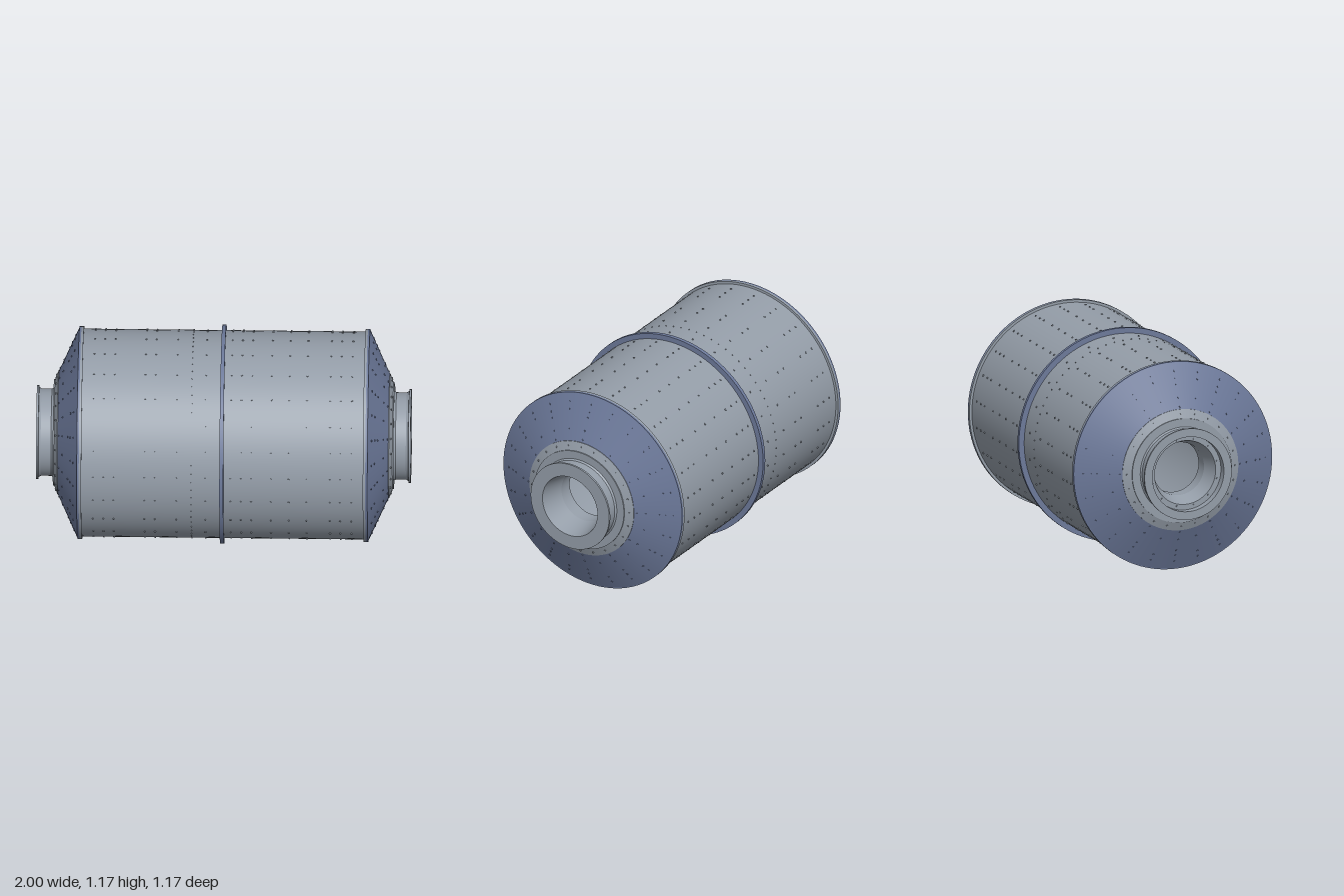
import * as THREE from 'three';
import { mergeGeometries } from 'three/addons/utils/BufferGeometryUtils.js';

const AXIS_Y = 0.585;
const SEG = 96;

// Revolve a [radius, x] profile around the x axis, keeping every corner sharp.
// Outer walls run towards +x, inner walls run back towards -x.
function revolve(profile, closed = true) {
  const parts = [];
  const count = closed ? profile.length : profile.length - 1;
  for (let i = 0; i < count; i++) {
    const a = profile[i], b = profile[(i + 1) % profile.length];
    parts.push(new THREE.LatheGeometry([new THREE.Vector2(...a), new THREE.Vector2(...b)], SEG));
  }
  return mergeGeometries(parts).rotateZ(-Math.PI / 2);
}

// A rectangular ring between two radii and two x positions.
const ring = (inner, outer, x0, x1) => revolve([[inner, x0], [outer, x0], [outer, x1], [inner, x1]]);

// A hexagonal bolt head at distance r from the axis, leaning towards +x by tilt.
function bolt(x, r, angle, tilt = 0, size = 0.005) {
  return new THREE.CylinderGeometry(size, size, 0.007, 6)
    .rotateZ(-tilt).translate(x, r, 0).rotateX(angle);
}

export function createModel() {
  const steel = new THREE.MeshStandardMaterial({ color: 0x949da8 });
  steel.name = 'greySteel';
  const blue = new THREE.MeshStandardMaterial({ color: 0x6c799a });
  blue.name = 'bluePaint';

  const model = new THREE.Group();
  model.name = 'drumMill';
  const drum = new THREE.Group();
  drum.name = 'drum';
  drum.position.y = AXIS_Y;
  model.add(drum);

  const add = (parent, name, geometry, material) => {
    const mesh = new THREE.Mesh(geometry, material);
    mesh.name = name;
    parent.add(mesh);
    return mesh;
  };

  // Cylindrical shell and its middle flange
  add(drum, 'shell', ring(0.53, 0.555, -0.765, 0.765), steel);
  add(drum, 'middleFlange', ring(0.54, 0.585, -0.014, 0.007), blue);

  // Rows of liner bolts around the shell
  const rows = [-0.69, -0.635, -0.58, -0.415, -0.36, -0.245, -0.09, 0.045,
    0.1, 0.155, 0.26, 0.355, 0.45, 0.575, 0.63, 0.69];
  const shellBolts = [];
  for (const x of rows) {
    for (let i = 0; i < 24; i++) shellBolts.push(bolt(x, 0.556, (i + 0.5) * Math.PI / 12));
  }
  for (let i = 0; i < 72; i++) shellBolts.push(bolt(-0.165, 0.556, i * Math.PI / 36, 0, 0.003));
  add(drum, 'shellBolts', mergeGeometries(shellBolts), steel);

  // Oval hatch under the shell
  const hatch = new THREE.Group();
  hatch.name = 'hatch';
  hatch.position.set(-0.26, -0.555, 0);
  hatch.scale.z = 0.75;
  drum.add(hatch);
  add(hatch, 'hatchCover', new THREE.CylinderGeometry(0.05, 0.05, 0.022, 32), steel);
  const rim = add(hatch, 'hatchRim', new THREE.TorusGeometry(0.053, 0.007, 8, 32), steel);
  rim.rotation.x = Math.PI / 2;
  rim.position.y = -0.008;

  // Inside of each trunnion: a tapered discharge bore and a stepped feed bore
  const bores = {
    left: [[0.175, 1], [0.145, 0.86], [0.145, 0.78]],
    right: [[0.205, 1], [0.205, 0.955], [0.175, 0.955], [0.145, 0.86], [0.145, 0.78]],
  };

  for (const side of ['left', 'right']) {
    const end = new THREE.Group();
    end.name = side + 'End';
    if (side === 'right') end.rotation.y = Math.PI;
    drum.add(end);

    // Bolted pair of flanges between shell and cone
    add(end, 'shellFlange', ring(0.54, 0.569, 0.752, 0.765), steel);
    add(end, 'coneFlange', ring(0.54, 0.569, 0.765, 0.776), blue);

    // Conical head
    add(end, 'coneHead', revolve([[0.565, 0.776], [0.33, 0.884], [0.29, 0.87], [0.53, 0.76]]), blue);

    // Trunnion: collar on the cone, neck, end flange and bore
    add(end, 'trunnion', revolve([
      [0.332, 0.878], [0.332, 0.886], [0.285, 0.904], [0.285, 0.91], [0.24, 0.91],
      [0.233, 0.92], [0.233, 0.975], [0.24, 0.987], [0.25, 0.989], [0.25, 1],
      ...bores[side], [0.27, 0.84],
    ]), steel);

    // Bolts on the cone, collar and feed bore
    const coneBolts = [], collarBolts = [];
    for (let i = 0; i < 24; i++) {
      const angle = i * Math.PI / 12;
      const radii = i % 2 ? [0.522, 0.487, 0.39] : [0.522, 0.485, 0.455, 0.39, 0.345];
      for (const r of radii) coneBolts.push(bolt(0.776 + (0.565 - r) * 0.46, r, angle, 1.14));
      collarBolts.push(bolt(0.896, 0.31, angle, 1.2));
      if (side === 'right' && i % 2) collarBolts.push(bolt(0.957, 0.188, angle, Math.PI / 2));
    }
    add(end, 'coneBolts', mergeGeometries(coneBolts), blue);
    add(end, 'collarBolts', mergeGeometries(collarBolts), steel);
  }

  return model;
}
